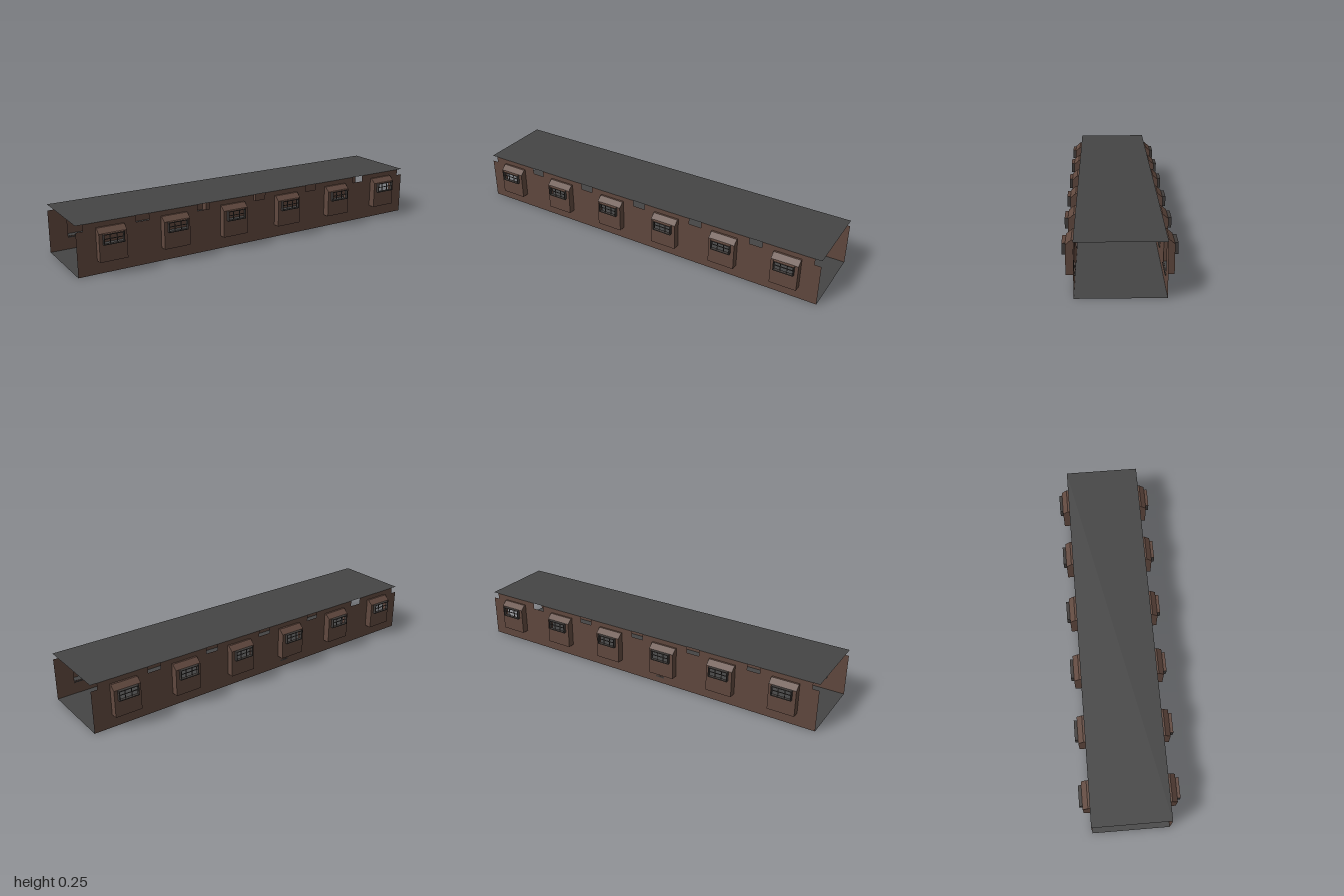
import * as THREE from 'three';

const mat = (name, color) => {
  const m = new THREE.MeshStandardMaterial({ color, side: THREE.DoubleSide });
  m.name = name;
  return m;
};

export function createModel() {
  const brown = mat('brown panelling', 0x60483e);
  const grey = mat('grey deck', 0x454545);
  const dark = mat('dark window frame', 0x403c3a);
  const root = new THREE.Group();
  root.name = 'corridor';

  const H = 0.255, HALF = 0.2, PITCH = 1 / 3, BAY = 0.07;
  const Y0 = 0.068, Y1 = 0.207, Y2 = 0.23, D = 0.037;
  const WX = 0.052, WY0 = 0.155, WY1 = 0.207, WD = 0.016;

  const add = (parent, name, geo, material, x = 0, y = 0, z = 0) => {
    const m = new THREE.Mesh(geo, material);
    m.name = name;
    m.position.set(x, y, z);
    parent.add(m);
    return m;
  };
  const box = (parent, name, w, h, d, material, x, y, z) =>
    add(parent, name, new THREE.BoxGeometry(w, h, d), material, x, y, z);
  const rect = (path, x0, y0, x1, y1) =>
    path.moveTo(x0, y0).lineTo(x1, y0).lineTo(x1, y1).lineTo(x0, y1).closePath();

  // Floor and ceiling sheets
  const sheet = new THREE.PlaneGeometry(2, 2 * HALF).rotateX(-Math.PI / 2);
  add(root, 'floor', sheet, grey);
  add(root, 'ceiling', sheet, grey, 0, H, 0);

  // Wall sheet: raised top panels with gaps between, and a hole behind each bay
  const wall = new THREE.Shape();
  wall.moveTo(-1, 0).lineTo(1, 0).lineTo(1, 0.222);
  for (let i = 5; i >= 0; i--) {
    const c = (i - 2.5) * PITCH;
    wall.lineTo(c + 0.133, 0.222).lineTo(c + 0.133, H);
    wall.lineTo(c - 0.133, H).lineTo(c - 0.133, 0.222);
    const hole = new THREE.Path();
    rect(hole, c - BAY, Y0, c + BAY, Y2);
    wall.holes.push(hole);
  }
  wall.lineTo(-1, 0.222).closePath();
  const wallGeo = new THREE.ShapeGeometry(wall);

  // Bay shell pieces
  const cheekShape = new THREE.Shape();
  cheekShape.moveTo(0, Y0).lineTo(D, Y0).lineTo(D, Y1).lineTo(0.01, Y2).lineTo(0, Y2).closePath();
  const cheekGeo = new THREE.ShapeGeometry(cheekShape).rotateY(-Math.PI / 2);
  const faceShape = new THREE.Shape();
  rect(faceShape, -BAY, Y0, BAY, WY0);
  const faceGeo = new THREE.ShapeGeometry(faceShape);
  const postShape = new THREE.Shape();
  rect(postShape, WX, WY0, BAY, Y1);
  const postGeo = new THREE.ShapeGeometry(postShape);
  const slopeLen = Math.hypot(D - 0.01, Y2 - Y1);
  const slopeGeo = new THREE.PlaneGeometry(2 * BAY, slopeLen)
    .rotateX(-Math.atan2(D - 0.01, Y2 - Y1));

  const makeBay = (front) => {
    const bay = new THREE.Group();
    bay.name = 'windowBay';
    for (const s of [-1, 1]) {
      add(bay, 'bayCheek', cheekGeo, brown, s * BAY, 0, 0);
      add(bay, 'bayPost', postGeo, brown, s < 0 ? -BAY - WX : 0, 0, D);
    }
    add(bay, 'bayPanel', faceGeo, brown, 0, 0, D);
    add(bay, 'bayHood', slopeGeo, brown, 0, (Y1 + Y2) / 2, (D + 0.01) / 2);
    box(bay, 'bayCap', 2 * BAY, 0.001, 0.01, brown, 0, Y2 - 0.0005, 0.005);
    box(bay, 'bayBase', 2 * BAY, 0.001, D, brown, 0, Y0 + 0.0005, D / 2);
    box(bay, 'baySeat', 2 * BAY - 0.002, 0.001, D - 0.002, grey, 0, Y0 + 0.002, D / 2);
    box(bay, 'sillLip', 2 * BAY, 0.005, 0.005, dark, 0, 0.0645, -0.003);

    // Projecting window frame with glazing bars
    const t = 0.004, zc = D + WD / 2, yc = (WY0 + WY1) / 2, h = WY1 - WY0;
    for (const s of [-1, 1]) {
      box(bay, 'frameSide', t, h, WD, dark, s * (WX - t / 2), yc, zc);
      box(bay, 'frameRail', 2 * WX, t, WD, dark, 0, yc + s * (h - t) / 2, zc);
      box(bay, 'uprightBar', 0.003, h, 0.004, dark, s * WX / 3, yc, D + 0.006);
    }
    box(bay, 'crossBar', 2 * WX, 0.003, 0.004, dark, 0, yc, D + 0.006);
    if (front) box(bay, 'frameCap', 2 * WX, 0.001, WD, brown, 0, WY1 + 0.0005, zc);
    return bay;
  };

  // Two mirrored sides, six bays each
  for (const front of [true, false]) {
    const side = new THREE.Group();
    side.name = front ? 'frontSide' : 'backSide';
    add(side, 'wall', wallGeo, brown);
    for (let i = 0; i < 6; i++) {
      const bay = makeBay(front);
      bay.position.x = (i - 2.5) * PITCH;
      side.add(bay);
    }
    side.position.z = front ? HALF : -HALF;
    if (!front) side.rotation.y = Math.PI;
    root.add(side);
  }

  // Small block low on the back wall
  box(root, 'wallBlock', 0.05, 0.008, 0.007, dark, -0.14, 0.035, -0.1975);
  return root;
}
